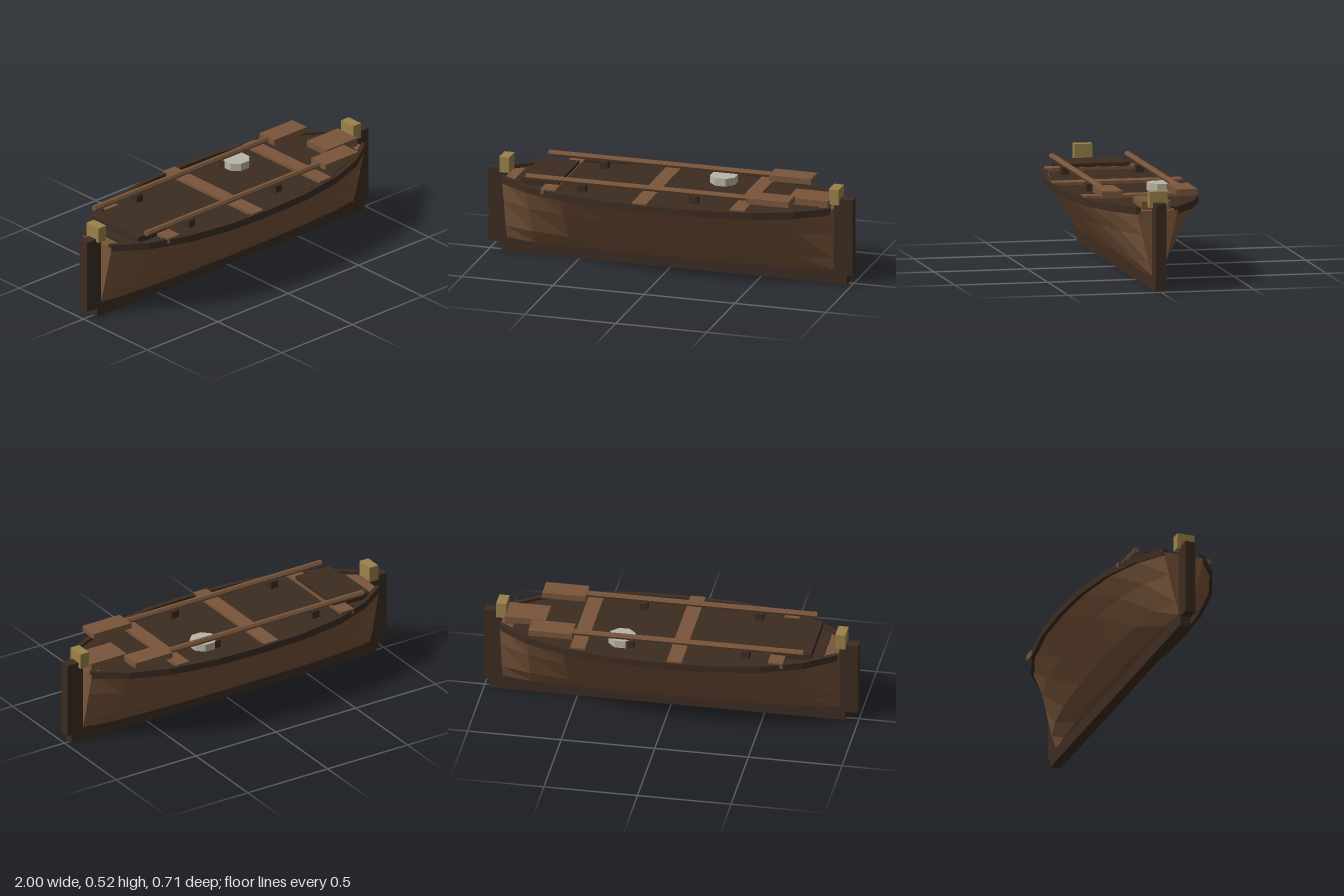
import * as THREE from 'three';

const mat = (color) => new THREE.MeshStandardMaterial({ color, flatShading: true });

// Hull stations along x with their half width as a share of the beam
const STATIONS = [[-0.9, 0.32], [-0.74, 0.63], [-0.53, 0.85], [-0.26, 0.975], [0, 1],
  [0.26, 0.975], [0.53, 0.85], [0.74, 0.63], [0.9, 0.32]];

// Joins closed convex sections (counter-clockwise seen from +x) and caps both ends
function loft(sections) {
  const pos = [];
  const tri = (a, b, c) => pos.push(...a, ...b, ...c);
  for (let i = 0; i < sections.length - 1; i++) {
    const p = sections[i], q = sections[i + 1];
    for (let j = 0; j < p.length; j++) {
      const k = (j + 1) % p.length;
      tri(p[j], p[k], q[k]);
      tri(p[j], q[k], q[j]);
    }
  }
  const first = sections[0], last = sections[sections.length - 1];
  for (let k = 1; k < first.length - 1; k++) {
    tri(first[0], first[k + 1], first[k]);
    tri(last[0], last[k], last[k + 1]);
  }
  const g = new THREE.BufferGeometry();
  g.setAttribute('position', new THREE.Float32BufferAttribute(pos, 3));
  g.computeVertexNormals();
  return g;
}

export function createModel() {
  const boat = new THREE.Group();
  boat.name = 'rowingBoat';
  const wood = mat(0x7a563b), dark = mat(0x3d2c21), brass = mat(0x9c824b), pale = mat(0xbab5a9);

  const add = (name, geometry, material) => {
    const m = new THREE.Mesh(geometry, material);
    m.name = name;
    boat.add(m);
    return m;
  };
  // Box given by its limits on each axis
  const box = (name, material, x0, x1, y0, y1, z0, z1) => {
    const m = add(name, new THREE.BoxGeometry(x1 - x0, y1 - y0, z1 - z0), material);
    m.position.set((x0 + x1) / 2, (y0 + y1) / 2, (z0 + z1) / 2);
    return m;
  };

  // Hull: one flared profile scaled at every station
  const profile = [[0.07, 0.065], [0.145, 0.145], [0.295, 0.256], [0.42, 0.348]];
  add('hull', loft(STATIONS.map(([x, f]) => [
    ...profile.map(([y, w]) => [x, y, -w * f]),
    ...[...profile].reverse().map(([y, w]) => [x, y, w * f]),
  ])), wood);

  // Deck, set inside the gunwales
  const deckStations = [[-0.83, 0.44], ...STATIONS.slice(1, -1), [0.83, 0.44]];
  add('deck', loft(deckStations.map(([x, f]) => {
    const w = 0.355 * f - 0.037;
    return [[x, 0.4, w], [x, 0.4, -w], [x, 0.432, -w], [x, 0.432, w]];
  })), dark);

  for (const s of [-1, 1]) {
    const side = s > 0 ? 'left' : 'right';

    // Gunwale following the hull edge
    add(side + 'Gunwale', loft(STATIONS.map(([x, f]) => {
      const o = 0.357 * f, i = o - 0.027;
      const ring = [[x, 0.402, s * i], [x, 0.402, s * o], [x, 0.44, s * o], [x, 0.44, s * i]];
      return s < 0 ? ring : ring.reverse();
    })), dark);

    // Oar with shaft, blade and two rests
    const shaft = add('oarShaft', new THREE.CylinderGeometry(0.016, 0.016, 1.24, 6), wood);
    shaft.rotation.z = Math.PI / 2;
    shaft.position.set(-0.12, 0.487, s * 0.203);
    box('oarBlade', wood, 0.488, 0.72, 0.471, 0.503, s * 0.2 - 0.057, s * 0.2 + 0.057);
    for (const x of [-0.432, 0.186]) {
      box('oarRest', dark, x - 0.022, x + 0.022, 0.425, 0.472, s * 0.202 - 0.022, s * 0.202 + 0.022);
    }
  }

  // Cross benches
  for (const [x, w] of [[-0.6, 0.268], [-0.075, 0.348], [0.45, 0.3]]) {
    box('bench', wood, x - 0.04, x + 0.04, 0.418, 0.448, -w, w);
  }

  // Raised hatch and end seat
  box('hatch', dark, -0.775, -0.565, 0.425, 0.467, -0.18, 0.18);
  box('endSeat', wood, 0.66, 0.88, 0.422, 0.467, -0.077, 0.077);

  // Keel, end posts and their caps
  box('keel', dark, -0.93, 0.972, 0, 0.075, -0.028, 0.028);
  box('rightStem', dark, -1, -0.9, 0.05, 0.455, -0.028, 0.028);
  box('leftStem', dark, 0.9, 1, 0.05, 0.468, -0.028, 0.028);
  for (const x of [-0.908, 0.904]) {
    box('postCap', brass, x - 0.027, x + 0.027, 0.44, 0.525, -0.048, 0.048);
  }

  // Eight-sided bucket lid on the deck
  const lid = add('roundLid', new THREE.CylinderGeometry(0.073, 0.073, 0.045, 8), pale);
  lid.rotation.y = Math.PI / 8;
  lid.position.set(0.236, 0.451, -0.163);

  return boat;
}
